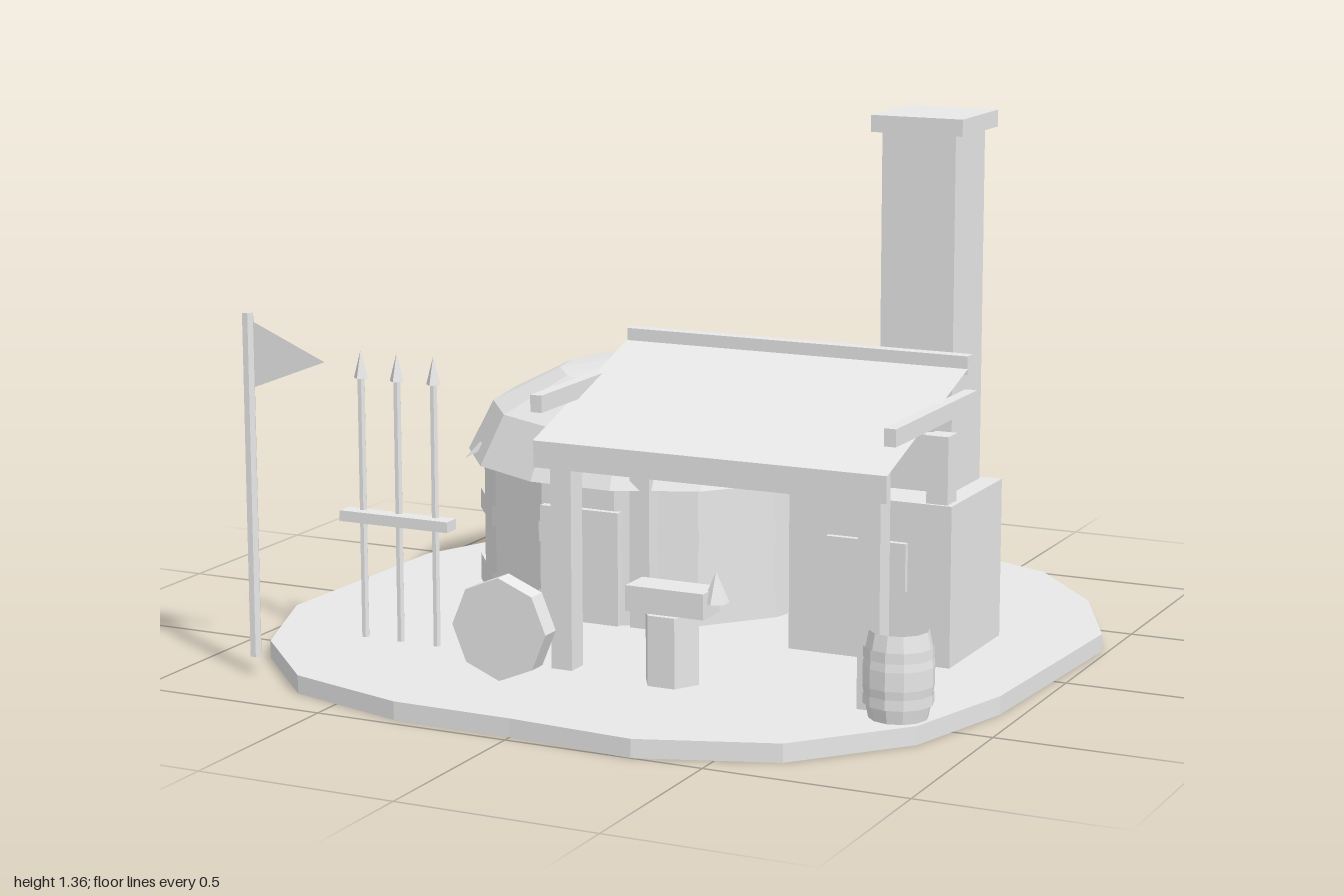
import * as THREE from 'three';

export function createModel() {
  const model = new THREE.Group();
  const grey = new THREE.MeshStandardMaterial({ color: 0xe7e7e7, flatShading: true });
  grey.name = 'grey';
  const greySheet = grey.clone();
  greySheet.side = THREE.DoubleSide;
  greySheet.name = 'grey sheet';

  function add(name, geometry, x = 0, y = 0, z = 0, material = grey) {
    const mesh = new THREE.Mesh(geometry, material);
    mesh.name = name;
    mesh.position.set(x, y, z);
    model.add(mesh);
    return mesh;
  }
  // box given by its extents
  const box = (name, x0, x1, y0, y1, z0, z1) =>
    add(name, new THREE.BoxGeometry(x1 - x0, y1 - y0, z1 - z0),
      (x0 + x1) / 2, (y0 + y1) / 2, (z0 + z1) / 2);
  // cylinder from y0 to y1, with a corner on +x
  const drum = (name, r, sides, x, y0, y1, z, open = false) =>
    add(name, new THREE.CylinderGeometry(r, r, y1 - y0, sides, 1, open, Math.PI / 2),
      x, (y0 + y1) / 2, z);
  // lathe with a corner on +x
  const lathe = (name, profile, sides, x, z) =>
    add(name, new THREE.LatheGeometry(profile.map(p => new THREE.Vector2(...p)), sides, Math.PI / 2),
      x, 0, z);

  const G = 0.045; // ground level

  // uneven ground slab
  const rim = [[0, -1], [0.328, -0.975], [0.635, -0.85], [0.845, -0.61], [0.985, -0.31],
    [0.968, 0], [0.95, 0.32], [0.865, 0.63], [0.645, 0.885], [0.322, 1],
    [0, 0.977], [-0.31, 0.972], [-0.63, 0.88], [-0.86, 0.64], [-0.985, 0.32],
    [-0.972, 0], [-0.96, -0.31], [-0.835, -0.605], [-0.62, -0.855], [-0.31, -0.96]];
  const slab = new THREE.ExtrudeGeometry(
    new THREE.Shape(rim.map(([x, z]) => new THREE.Vector2(x, -z))),
    { depth: G, bevelEnabled: false });
  slab.rotateX(-Math.PI / 2);
  add('ground', slab);

  // round hut, turned slightly
  const hx = -0.248, hz = -0.332, turn = 0.033;
  const hutParts = [
    drum('hutWall', 0.474, 14, hx, G, 0.42, hz, true),
    drum('hutLowerBand', 0.486, 14, hx, G, 0.115, hz, true),
    drum('hutUpperBand', 0.485, 14, hx, 0.24, 0.293, hz, true),
    lathe('hutRoof', [[0.47, 0.4], [0.515, 0.4], [0.449, 0.53], [0.272, 0.62], [0.1, 0.647]], 14, hx, hz),
  ];
  for (const part of hutParts) part.rotation.y = -turn;
  drum('roofCap', 0.123, 10, hx, 0.635, 0.664, hz);
  box('hutDoor', -0.36, -0.14, G, 0.338, 0.08, 0.15);

  // pegs around the eave
  for (let i = 0; i < 7; i++) {
    const a = Math.PI / 2 + turn + (i * 2 * Math.PI) / 7;
    const dx = Math.cos(a), dz = Math.sin(a);
    const peg = add('roofPeg', new THREE.ConeGeometry(0.014, 0.06, 4),
      hx + dx * 0.504, 0.415, hz + dz * 0.504);
    peg.quaternion.setFromUnitVectors(new THREE.Vector3(0, 1, 0),
      new THREE.Vector3(dx * 0.8, -0.6, dz * 0.8));
  }

  // forge and chimney
  box('forge', 0.332, 0.756, G, 0.445, -0.19, 0.152);
  box('forgeMouth', 0.437, 0.645, 0.225, 0.345, 0.15, 0.168);
  box('chimney', 0.514, 0.703, 0.445, 1.32, -0.173, 0.022);
  box('chimneyCap', 0.493, 0.728, 1.32, 1.361, -0.195, 0.043);

  // shelter: posts, rails and sloping awning
  for (const x of [-0.11, 0.687]) {
    box('frontPost', x, x + 0.055, G, 0.612, 0.505, 0.563);
    box('backPost', x, x + 0.055, G, 0.612, 0.085, 0.143);
  }
  for (const x of [-0.153, 0.755]) box('sideRail', x, x + 0.03, 0.675, 0.717, 0.07, 0.58);
  box('frontRail', -0.138, 0.769, 0.545, 0.61, 0.58, 0.595);
  box('backRail', -0.138, 0.769, 0.757, 0.802, 0.06, 0.095);
  box('backLowerRail', -0.125, 0.7, 0.545, 0.61, 0.095, 0.13);
  const rise = 0.165, run = 0.51;
  const awning = add('awning', new THREE.PlaneGeometry(0.91, Math.hypot(rise, run)),
    0.315, 0.693, 0.337, greySheet);
  awning.rotation.x = -Math.PI / 2 + Math.atan2(rise, run);

  // anvil on its stump
  drum('stump', 0.07, 6, 0.202, G, 0.217, 0.54);
  box('anvil', 0.1, 0.305, 0.217, 0.28, 0.495, 0.585);
  add('anvilHorn', new THREE.ConeGeometry(0.032, 0.075, 6), 0.317, 0.289, 0.54);

  // open barrel with hoops
  const bx = 0.797, bz = 0.577;
  lathe('barrel', [[0.07, G], [0.079, 0.09], [0.084, 0.125], [0.084, 0.17], [0.079, 0.207], [0.07, 0.252]],
    12, bx, bz);
  for (const y of [0.08, 0.19]) drum('barrelHoop', 0.083, 12, bx, y, y + 0.025, bz, true);

  // octagonal grindstone
  const stone = add('grindstone', new THREE.CylinderGeometry(0.125, 0.125, 0.052, 8), -0.14, 0.188, 0.745);
  stone.rotation.x = Math.PI / 2;

  // spear rack
  box('rackBar', -0.715, -0.41, 0.343, 0.37, 0.492, 0.538);
  for (const x of [-0.667, -0.565, -0.462]) {
    drum('spearShaft', 0.01, 6, x, G, 0.705, 0.503);
    add('spearHead', new THREE.ConeGeometry(0.02, 0.07, 4), x, 0.737, 0.503);
  }

  // flag
  drum('flagPole', 0.015, 6, -0.815, G, 0.897, 0.775, true);
  const pennant = new THREE.Shape([[-0.8, 0.875], [-0.8, 0.715], [-0.602, 0.792]]
    .map(p => new THREE.Vector2(...p)));
  add('flag', new THREE.ShapeGeometry(pennant), 0, 0, 0.775, greySheet);

  return model;
}
